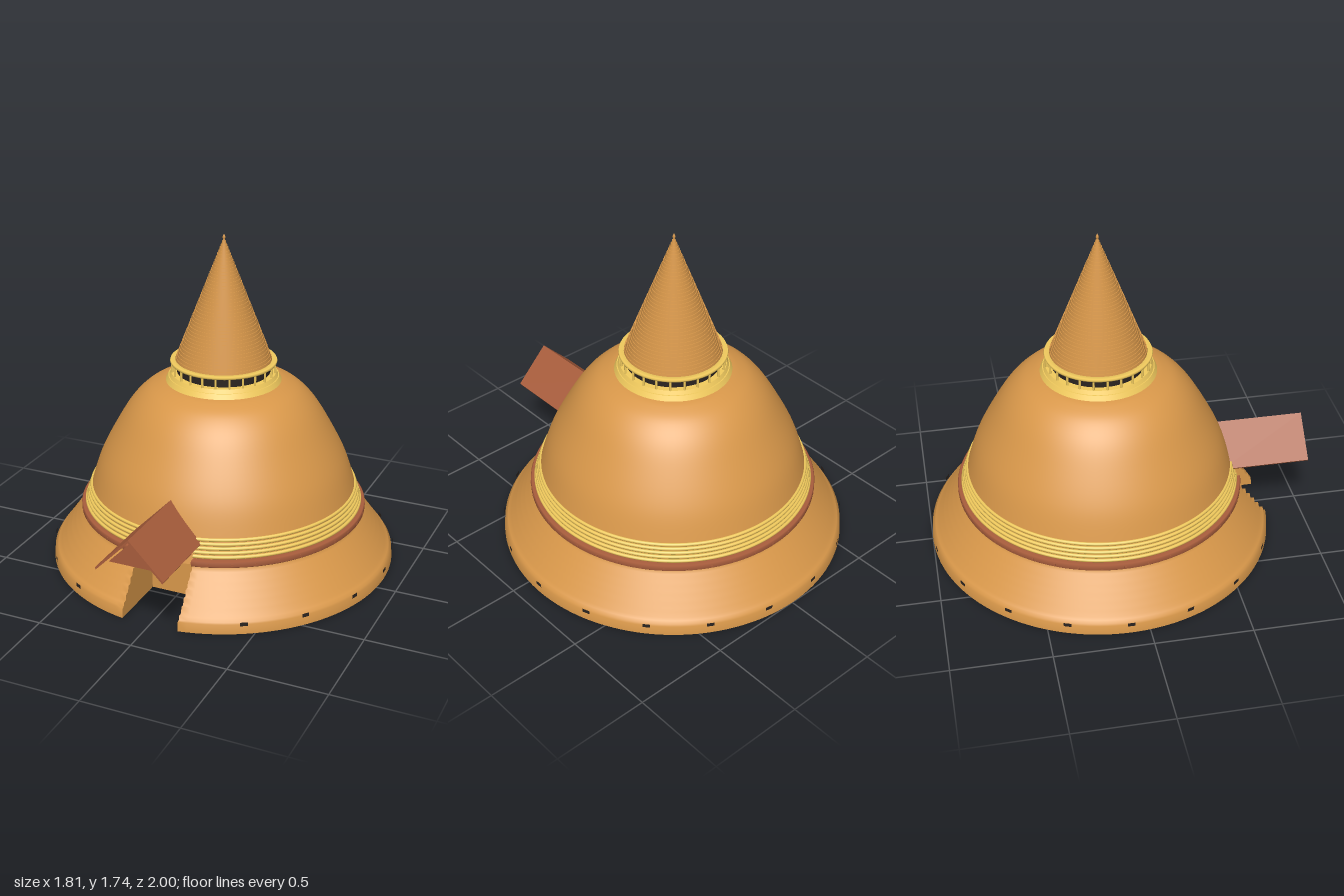
import * as THREE from 'three';

const mat = (color) => new THREE.MeshStandardMaterial({ color, side: THREE.DoubleSide });
const clay = mat(0xd9984a), brick = mat(0xa85d3c), gold = mat(0xf2cb5e), dark = mat(0x2b2420);
const HALF_DOOR = 0.15, FOOT = 0.904, PASSAGE_BACK = 0.556, SKIRT_TOP = 0.279;

export function createModel() {
  const root = new THREE.Group();
  const body = new THREE.Group(); // round building, set back from the porch
  body.name = 'roundBuilding';
  body.position.z = -0.096;
  root.add(body);

  const add = (parent, name, geometry, material, x = 0, y = 0, z = 0) => {
    const mesh = new THREE.Mesh(geometry, material);
    mesh.name = name;
    mesh.position.set(x, y, z);
    parent.add(mesh);
    return mesh;
  };
  const points = (pairs) => pairs.map(([r, y]) => new THREE.Vector2(r, y));
  const lathe = (pairs, segments = 96) => new THREE.LatheGeometry(points(pairs), segments);

  // Lathe with a straight-sided doorway cut out at the front
  const latheWithDoor = (pairs) => {
    const g = lathe(pairs, 120);
    const p = g.attributes.position, uv = g.attributes.uv;
    for (let i = 0; i < p.count; i++) {
      const r = Math.hypot(p.getX(i), p.getZ(i));
      const gap = Math.asin(HALF_DOOR / r);
      const a = gap + uv.getX(i) * (2 * Math.PI - 2 * gap);
      p.setX(i, r * Math.sin(a));
      p.setZ(i, r * Math.cos(a));
    }
    g.computeVertexNormals();
    return g;
  };
  const closedRing = (r, y, half) => {
    const pairs = [];
    for (let i = 0; i <= 8; i++) {
      const a = -Math.PI / 2 + (i / 8) * 2 * Math.PI;
      pairs.push([r + half * Math.cos(a), y + half * Math.sin(a)]);
    }
    return pairs;
  };
  // Repeat a part around the axis, facing outward; angle 0 is +x
  const around = (count, radius, make) => {
    for (let i = 0; i < count; i++) {
      const a = (i / count) * 2 * Math.PI;
      make(radius * Math.cos(a), radius * Math.sin(a), Math.PI / 2 - a);
    }
  };
  const clearsDoor = (x, z) => z < 0 || Math.abs(x) > HALF_DOOR + 0.02;

  // Stepped skirt
  const skirt = [[FOOT, 0], [FOOT - 0.004, 0.05], [0.888, 0.054], [0.884, 0.075]];
  for (let i = 0; i < 6; i++) {
    const r = 0.864 - i * 0.025, y = 0.075 + i * 0.034;
    skirt.push([r, y + 0.003], [r - 0.006, y + 0.034]);
  }
  add(body, 'steppedSkirt', latheWithDoor(skirt), clay);

  // Underside with the entrance notch
  const gap = Math.asin(HALF_DOOR / FOOT);
  const floor = new THREE.Shape();
  floor.absarc(0, 0, FOOT, Math.PI / 2 + gap, 2.5 * Math.PI - gap, false);
  floor.lineTo(HALF_DOOR, PASSAGE_BACK);
  floor.lineTo(-HALF_DOOR, PASSAGE_BACK);
  add(body, 'underside', new THREE.ShapeGeometry(floor, 96).rotateX(Math.PI / 2), clay);

  // Entrance passage: two side walls, back wall and ceiling
  const sideWall = new THREE.Shape(points([[PASSAGE_BACK, 0],
    ...skirt.map(([r, y]) => [Math.sqrt(r * r - HALF_DOOR * HALF_DOOR), y]),
    [PASSAGE_BACK, SKIRT_TOP]]));
  for (const side of [-1, 1]) {
    add(body, 'passageSide', new THREE.ShapeGeometry(sideWall).rotateY(-Math.PI / 2), clay, side * HALF_DOOR);
  }
  add(body, 'passageBack', new THREE.PlaneGeometry(2 * HALF_DOOR, SKIRT_TOP), clay,
    0, SKIRT_TOP / 2, PASSAGE_BACK);
  add(body, 'passageCeiling', new THREE.PlaneGeometry(2 * HALF_DOOR, 0.155).rotateX(Math.PI / 2), clay,
    0, SKIRT_TOP, PASSAGE_BACK + 0.0775);

  // Small flat vents round the foot
  around(18, 0.907, (x, z, turn) => {
    if (!clearsDoor(x, z)) return;
    add(body, 'vent', new THREE.PlaneGeometry(0.038, 0.02), dark, x, 0.055, z).rotation.y = turn;
  });

  // Brick ledge with studs
  add(body, 'brickLedge', latheWithDoor([[0.71, 0.275], [0.745, 0.275], [0.75, 0.28],
    [0.75, 0.302], [0.745, 0.307], [0.71, 0.307]]), brick);
  around(40, 0.748, (x, z, turn) => {
    if (!clearsDoor(x, z)) return;
    add(body, 'ledgeStud', new THREE.BoxGeometry(0.012, 0.012, 0.008), brick, x, 0.291, z).rotation.y = turn;
  });

  // Gold bands
  for (let i = 0; i < 5; i++) {
    add(body, 'goldBand', latheWithDoor(closedRing(0.722 - i * 0.007, 0.32 + i * 0.02, 0.009)), gold);
  }

  // Bell-shaped dome
  const domeCurve = new THREE.SplineCurve(points([[0.725, 0.275], [0.69, 0.41], [0.64, 0.56],
    [0.555, 0.725], [0.48, 0.845], [0.405, 0.922], [0.33, 0.962], [0.28, 0.975]]));
  const dome = domeCurve.getPoints(40).map((p) => [p.x, p.y]);
  add(body, 'dome', lathe([...dome, [0, 0.978]]), clay);

  // Gold collar, dark drum and railing
  add(body, 'collarBase', new THREE.CylinderGeometry(0.285, 0.298, 0.025, 72), gold, 0, 0.985, 0);
  add(body, 'collarTop', new THREE.CylinderGeometry(0.27, 0.28, 0.02, 72), gold, 0, 1.007, 0);
  add(body, 'drum', new THREE.CylinderGeometry(0.24, 0.24, 0.07, 72), dark, 0, 1.045, 0);
  around(24, 0.265, (x, z) => {
    add(body, 'railPost', new THREE.CylinderGeometry(0.006, 0.006, 0.06, 8), gold, x, 1.042, z);
  });
  add(body, 'railTop', lathe([[0.235, 1.068], [0.272, 1.068], [0.275, 1.075],
    [0.272, 1.083], [0.235, 1.083], [0.235, 1.068]], 72), gold);

  // Spire of stacked, slightly tapered discs
  const discs = 40, pitch = 0.64 / discs;
  for (let i = 0; i < discs; i++) {
    const r = 0.248 * (1 - i / discs);
    add(body, 'spireDisc', new THREE.CylinderGeometry(r - 0.003, r, pitch, 56), clay,
      0, 1.08 + (i + 0.5) * pitch, 0);
  }
  add(body, 'finial', lathe([[0.004, 1.71], [0.008, 1.722], [0.004, 1.732], [0, 1.74]], 16), clay);

  // Gabled porch roof with a gable panel near its front edge
  const porch = new THREE.Group();
  porch.name = 'porch';
  root.add(porch);
  const roof = new THREE.Shape(points([[-0.18, 0.381], [0, 0.563], [0.18, 0.381],
    [0.174, 0.372], [0, 0.549], [-0.174, 0.372]]));
  add(porch, 'porchRoof', new THREE.ExtrudeGeometry(roof, { depth: 0.47, bevelEnabled: false }),
    brick, 0, 0, 0.53);
  const gable = new THREE.Shape(points([[-0.12, 0.412], [0.12, 0.412], [0, 0.535]]));
  add(porch, 'gablePanel', new THREE.ExtrudeGeometry(gable, { depth: 0.01, bevelEnabled: false }),
    brick, 0, 0, 0.96);

  return root;
}
